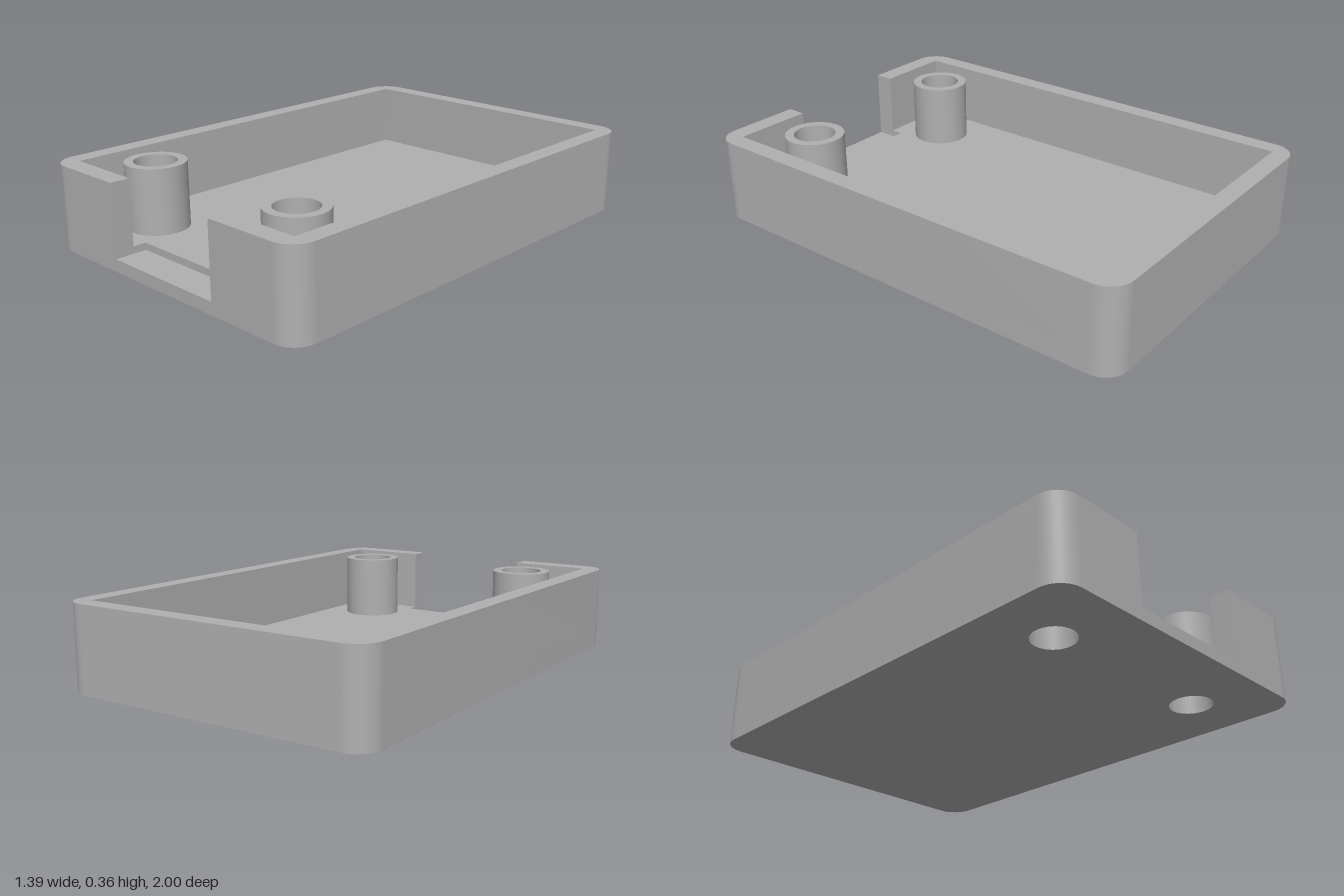
import * as THREE from 'three';
import { toCreasedNormals } from 'three/addons/utils/BufferGeometryUtils.js';

const W = 0.696, D = 1, R = 0.1;          // half width, half depth, corner radius
const LEDGE = 0.052, FLOOR = 0.082, TOP = 0.356;
const NOTCH = 0.283;                      // half width of the front opening
const POST_X = 0.406, POST_Z = 0.705, POST_R = 0.126, HOLE_R = 0.088;

export function createModel() {
  const group = new THREE.Group();
  const grey = new THREE.MeshStandardMaterial({ color: 0xb0b0b0 });
  grey.name = 'grey plastic';

  // Rounded outline starting and ending at the front opening; shape y is -z
  function outline(innerPoints) {
    const s = new THREE.Shape();
    s.moveTo(NOTCH, -D);
    s.lineTo(W - R, -D);
    s.absarc(W - R, -D + R, R, -Math.PI / 2, 0);
    s.absarc(W - R, D - R, R, 0, Math.PI / 2);
    s.absarc(-W + R, D - R, R, Math.PI / 2, Math.PI);
    s.absarc(-W + R, -D + R, R, Math.PI, Math.PI * 1.5);
    s.lineTo(-NOTCH, -D);
    innerPoints.forEach(([x, y]) => s.lineTo(x, y));
    s.closePath();
    return s;
  }

  function circle(x, r, Type) {
    return new Type().absarc(x, -POST_Z, r, 0, Math.PI * 2);
  }

  // Upright slab from y0 to y1 with smooth curves and sharp edges
  function slab(name, shape, y0, y1) {
    const geo = new THREE.ExtrudeGeometry(shape, { depth: y1 - y0, bevelEnabled: false, curveSegments: 20 });
    geo.rotateX(-Math.PI / 2);
    geo.translate(0, y0, 0);
    const mesh = new THREE.Mesh(toCreasedNormals(geo, 0.6), grey);
    mesh.name = name;
    group.add(mesh);
  }

  // Base plate, and the floor layer recessed at the opening
  const base = outline([]);
  const floor = outline([[-NOTCH, -0.863], [NOTCH, -0.863]]);
  for (const s of [base, floor]) {
    for (const side of [-1, 1]) s.holes.push(circle(side * POST_X, HOLE_R, THREE.Path));
  }
  slab('basePlate', base, 0, LEDGE);
  slab('floor', floor, LEDGE, FLOOR);

  // Surrounding wall with the front opening
  const ix = 0.619, front = -0.918, back = 0.922;
  slab('wall', outline([
    [-NOTCH, front], [-ix, front], [-ix, back], [ix, back], [ix, front], [NOTCH, front],
  ]), FLOOR, TOP);

  // Hollow screw posts
  for (const [side, name] of [[1, 'leftPost'], [-1, 'rightPost']]) {
    const ring = circle(side * POST_X, POST_R, THREE.Shape);
    ring.holes.push(circle(side * POST_X, HOLE_R, THREE.Path));
    slab(name, ring, FLOOR, TOP);
  }
  return group;
}
